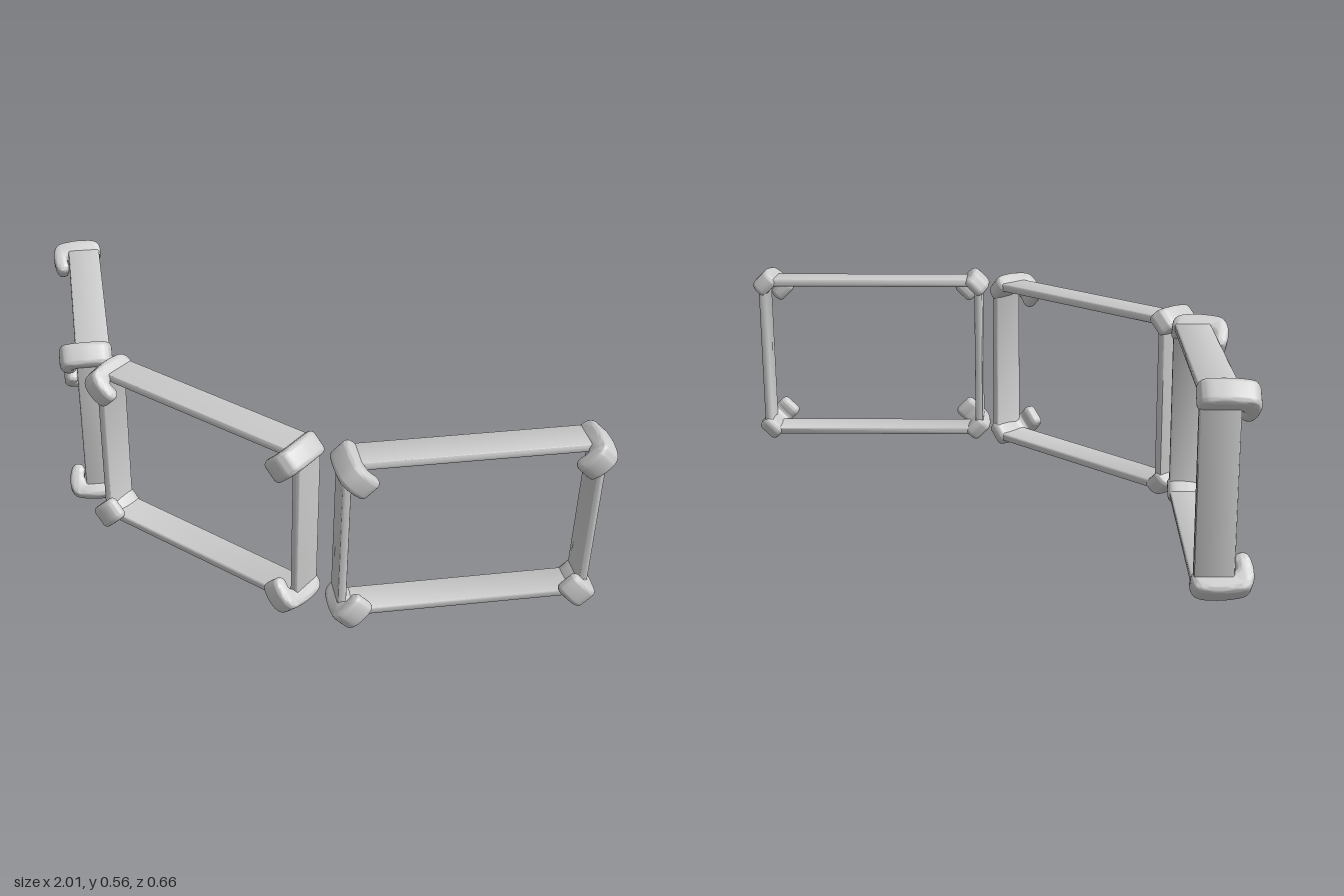
import * as THREE from 'three';
import { toCreasedNormals } from 'three/addons/utils/BufferGeometryUtils.js';

const HALF_W = 0.345, HALF_H = 0.246; // bar centre lines
const BAR = 0.0125;                   // half thickness of a bar

function roundedRect(path, w, h, r) {
  path.moveTo(-w + r, -h);
  path.lineTo(w - r, -h);
  path.absarc(w - r, -h + r, r, -Math.PI / 2, 0);
  path.lineTo(w, h - r);
  path.absarc(w - r, h - r, r, 0, Math.PI / 2);
  path.lineTo(-w + r, h);
  path.absarc(-w + r, h - r, r, Math.PI / 2, Math.PI);
  path.lineTo(-w, -h + r);
  path.absarc(-w + r, -h + r, r, Math.PI, Math.PI * 1.5);
  return path;
}

// Thin rectangular band with softened edges
function frameGeometry() {
  const bevel = 0.007;
  const shape = roundedRect(new THREE.Shape(), HALF_W + BAR, HALF_H + BAR, 0.02);
  shape.holes.push(roundedRect(new THREE.Path(), HALF_W - BAR, HALF_H - BAR, 0.022));
  const geo = new THREE.ExtrudeGeometry(shape, {
    depth: 0.1 - 2 * bevel, curveSegments: 6,
    bevelThickness: bevel, bevelSize: bevel, bevelOffset: -bevel, bevelSegments: 4,
  });
  geo.translate(0, 0, 0.003 + bevel);
  return toCreasedNormals(geo, 0.7);
}

// Corner claw: side profile (inward, forward), thickened across the diagonal
function clawGeometry() {
  const profile = [
    [0.0, 0.0], [0.03, 0.001], [0.034, 0.05], [0.032, 0.09], [0.042, 0.107], [0.068, 0.104],
    [0.083, 0.113], [0.084, 0.135], [0.06, 0.148], [0.015, 0.15], [-0.008, 0.137],
    [-0.019, 0.095], [-0.021, 0.05], [-0.016, 0.015],
  ].map(([a, z]) => new THREE.Vector3(a, z, 0));
  const curve = new THREE.CatmullRomCurve3(profile, true, 'centripetal');
  const outline = curve.getPoints(56).slice(0, -1).map((p) => new THREE.Vector2(p.x, p.y));
  const bevel = 0.015, width = 0.07;
  const geo = new THREE.ExtrudeGeometry(new THREE.Shape(outline), {
    depth: width - 2 * bevel,
    bevelThickness: bevel, bevelSize: bevel, bevelOffset: -bevel, bevelSegments: 5,
  });
  geo.translate(0, 0, bevel - width / 2);
  geo.rotateX(Math.PI / 2);
  return toCreasedNormals(geo, 0.8);
}

export function createModel() {
  const model = new THREE.Group();
  model.name = 'threePanelFrames';
  const material = new THREE.MeshStandardMaterial({ color: 0xcccccc });
  const frameGeo = frameGeometry();
  const clawGeo = clawGeometry();

  function addPanel(name, x, z, turn) {
    const panel = new THREE.Group();
    panel.name = name;
    const frame = new THREE.Mesh(frameGeo, material);
    frame.name = 'frame';
    panel.add(frame);
    // One claw per corner, pointing toward the middle of the panel
    for (const sx of [-1, 1]) {
      for (const sy of [-1, 1]) {
        const claw = new THREE.Mesh(clawGeo, material);
        claw.name = (sy > 0 ? 'upper' : 'lower') + (sx > 0 ? 'Left' : 'Right') + 'Claw';
        claw.position.set(sx * HALF_W, sy * HALF_H, 0);
        claw.rotation.z = Math.atan2(-sy, -sx);
        panel.add(claw);
      }
    }
    panel.position.set(x, 0.279, z);
    panel.rotation.y = turn;
    model.add(panel);
  }

  // Middle panel and two side panels swept back
  addPanel('middlePanel', -0.006, 0.188, 0);
  addPanel('leftPanel', 0.647, -0.065, Math.PI / 4);
  addPanel('rightPanel', -0.647, -0.065, -Math.PI / 4);
  return model;
}
